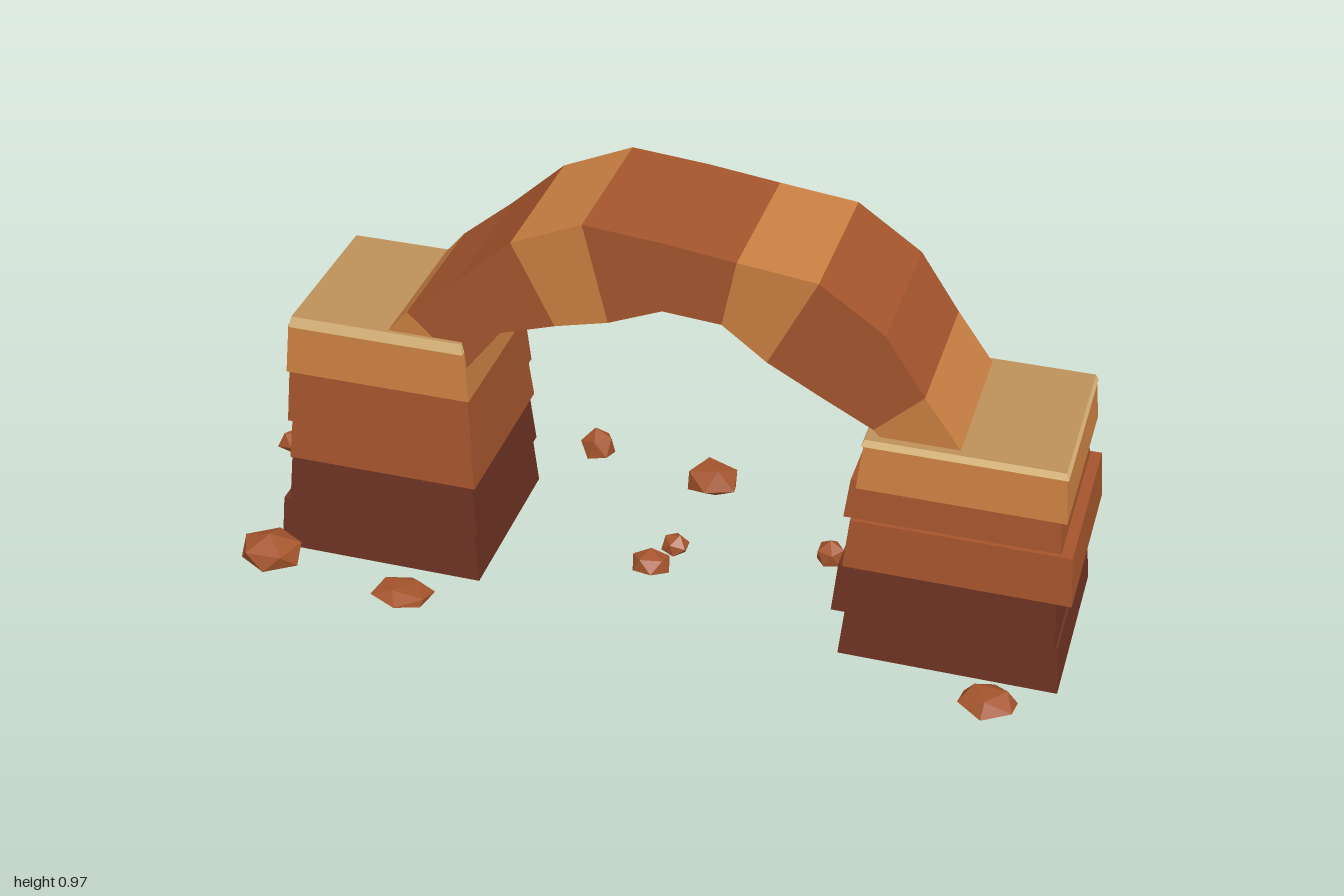
import * as THREE from 'three';

const mat = (name, color, side = THREE.FrontSide) => {
  const m = new THREE.MeshStandardMaterial({ color, side });
  m.name = name;
  return m;
};

// Four-sided block from bounds [x0, x1, z0, z1], narrowing by `taper` at its top.
// Material groups: 0 sides, 1 top, 2 bottom (optional).
function block([x0, x1, z0, z1], y0, y1, taper, closed = true) {
  const g = new THREE.BoxGeometry(1, 1, 1);
  const p = g.attributes.position;
  for (let i = 0; i < p.count; i++) {
    const t = p.getY(i) > 0 ? taper : 0;
    p.setXYZ(i,
      p.getX(i) > 0 ? x1 - t : x0 + t,
      p.getY(i) > 0 ? y1 : y0,
      p.getZ(i) > 0 ? z1 - t : z0 + t);
  }
  g.clearGroups();
  g.addGroup(0, 12, 0);
  g.addGroup(12, 6, 1);
  if (closed) g.addGroup(18, 6, 0);
  g.addGroup(24, 12, 0);
  g.computeVertexNormals();
  return g;
}

export function createModel() {
  const root = new THREE.Group();
  root.name = 'rockArch';
  const dark = mat('darkRock', 0x6e3322, THREE.DoubleSide);
  const rust = mat('rustRock', 0xa5552d);
  const orange = mat('orangeRock', 0xca8042);
  const tan = mat('paleRim', 0xdeb87c);
  const sand = mat('sandTop', 0xbd9159);

  const add = (parent, name, geo, material) => {
    const m = new THREE.Mesh(geo, material);
    m.name = name;
    parent.add(m);
    return m;
  };

  // Pillars: stacked, slightly shifted strata
  const layerMats = [dark, dark, rust, rust, orange];
  const pillars = {
    rightPillar: {
      heights: [0, 0.13, 0.25, 0.355, 0.485, 0.605, 0.63],
      bounds: [
        [-0.84, -0.35, -0.225, 0.2], [-0.81, -0.35, -0.215, 0.2],
        [-0.805, -0.355, -0.222, 0.19], [-0.8, -0.355, -0.21, 0.195],
        [-0.795, -0.36, -0.217, 0.19], [-0.78, -0.37, -0.2, 0.19],
      ],
    },
    leftPillar: {
      heights: [0, 0.115, 0.237, 0.355, 0.447, 0.55, 0.565],
      bounds: [
        [0.5, 0.99, -0.222, 0.214], [0.48, 0.975, -0.215, 0.212],
        [0.5, 1.0, -0.222, 0.21], [0.493, 0.965, -0.2, 0.19],
        [0.52, 0.972, -0.215, 0.208], [0.525, 0.965, -0.205, 0.2],
      ],
    },
  };
  for (const [name, { heights, bounds }] of Object.entries(pillars)) {
    const pillar = new THREE.Group();
    pillar.name = name;
    root.add(pillar);
    bounds.forEach((b, i) => {
      const cap = i === 5;
      const sides = cap ? tan : layerMats[i];
      // the lowest layer is open underneath
      const g = block(b, heights[i], heights[i + 1], cap ? 0.006 : 0.01, i > 0);
      add(pillar, cap ? 'capSlab' : 'stratum' + (i + 1), g, [sides, cap ? sand : sides]);
    });
  }

  // Arch: one block between each pair of [outer x, outer y, inner x, inner y] sections
  const sections = [
    [-0.56, 0.615, -0.44, 0.5], [-0.5, 0.685, -0.37, 0.56],
    [-0.38, 0.785, -0.285, 0.67], [-0.255, 0.9, -0.16, 0.71],
    [-0.095, 0.97, -0.04, 0.74], [0.08, 0.955, 0.08, 0.79],
    [0.24, 0.935, 0.21, 0.78], [0.415, 0.915, 0.31, 0.705],
    [0.56, 0.815, 0.43, 0.64], [0.65, 0.68, 0.545, 0.58],
    [0.74, 0.555, 0.62, 0.5],
  ];
  const bands = [orange, rust, rust, orange, rust, rust, orange, rust, rust, orange];
  const arch = new THREE.Group();
  arch.name = 'arch';
  root.add(arch);
  bands.forEach((material, i) => {
    const a = sections[i], b = sections[i + 1];
    const shape = new THREE.Shape([
      new THREE.Vector2(a[2], a[3]), new THREE.Vector2(b[2], b[3]),
      new THREE.Vector2(b[0], b[1]), new THREE.Vector2(a[0], a[1]),
    ]);
    const g = new THREE.ExtrudeGeometry(shape, { depth: 0.36, bevelEnabled: false });
    g.translate(0, 0, -0.185);
    add(arch, 'archBlock' + (i + 1), g, material);
  });

  // Loose rocks: faceted lumps with flattened undersides [x, z, radius, top]
  const rocks = [
    [-0.955, -0.16, 0.045, 0.06], [-0.835, 0.27, 0.07, 0.08],
    [-0.49, 0.32, 0.068, 0.042], [-0.24, -0.355, 0.04, 0.082],
    [0.07, -0.29, 0.062, 0.085], [0.02, 0.055, 0.046, 0.06],
    [0.055, -0.025, 0.03, 0.06], [0.41, -0.09, 0.032, 0.075],
    [0.855, 0.32, 0.062, 0.057], [-0.49, -0.146, 0.05, 0.04],
  ];
  const base = 0.016;
  rocks.forEach(([x, z, r, top], i) => {
    const g = new THREE.IcosahedronGeometry(1, 0);
    g.rotateX(0.3 + i * 0.7);
    g.rotateY(i * 1.3);
    g.computeBoundingBox();
    const { min, max } = g.boundingBox;
    const p = g.attributes.position;
    for (let k = 0; k < p.count; k++) {
      const h = Math.max(0, p.getY(k) + 0.35) / (max.y + 0.35);
      p.setXYZ(k,
        x - r + 2 * r * (p.getX(k) - min.x) / (max.x - min.x),
        base + (top - base) * h,
        z - r * 0.9 + 1.8 * r * (p.getZ(k) - min.z) / (max.z - min.z));
    }
    g.computeVertexNormals();
    add(root, 'looseRock' + (i + 1), g, rust);
  });

  return root;
}
